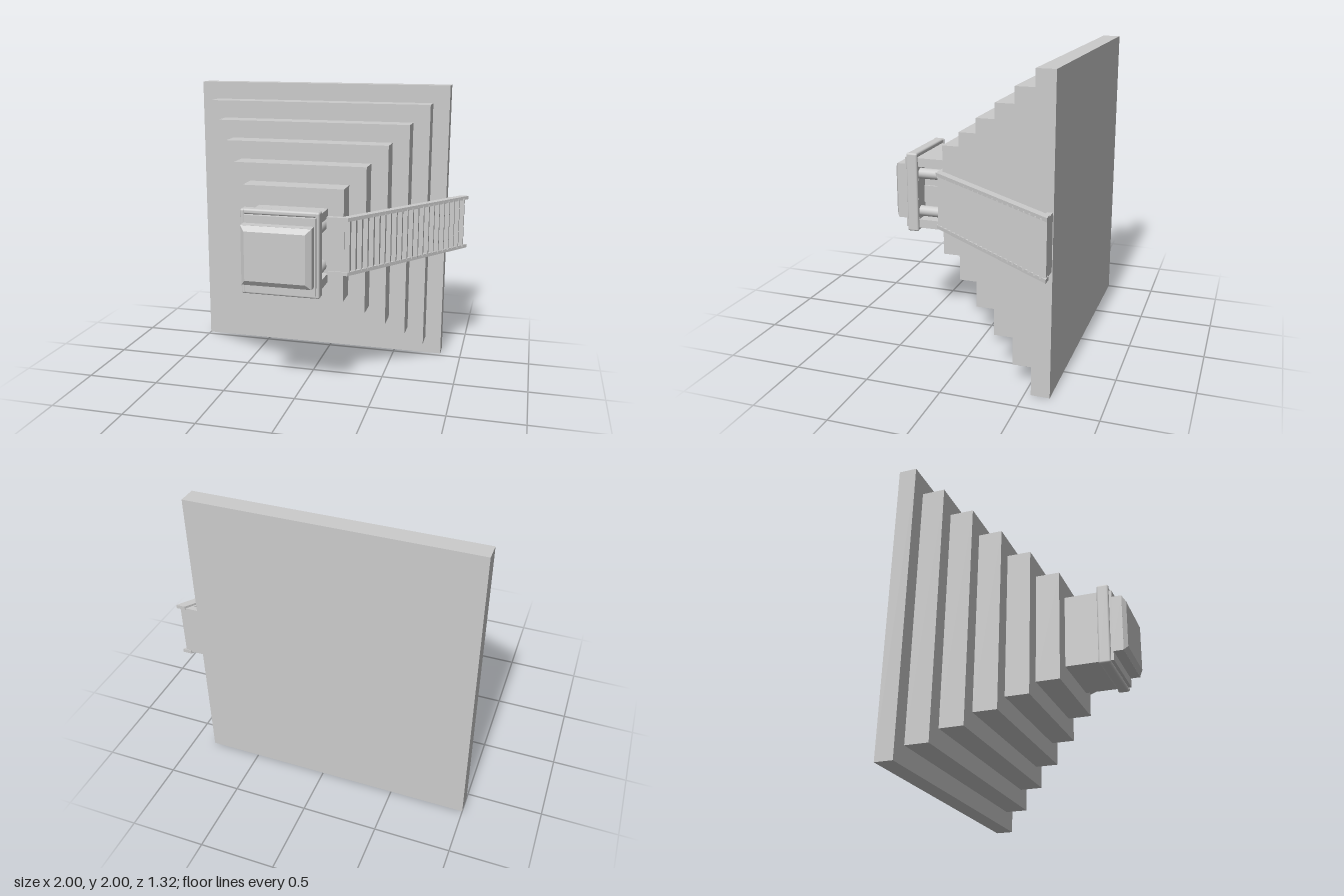
import * as THREE from 'three';
import { RoundedBoxGeometry } from 'three/addons/geometries/RoundedBoxGeometry.js';

const material = new THREE.MeshStandardMaterial({ color: 0xcccccc });

export function createModel() {
  const model = new THREE.Group();

  function add(name, geometry, x = 0, y = 0, z = 0) {
    const mesh = new THREE.Mesh(geometry, material);
    mesh.name = name;
    mesh.position.set(x, y, z);
    model.add(mesh);
    return mesh;
  }

  // Box given by its limits; a radius rounds the edges
  function block(name, x0, x1, y0, y1, z0, z1, radius = 0) {
    const size = [x1 - x0, y1 - y0, z1 - z0];
    const geometry = radius ? new RoundedBoxGeometry(...size, 3, radius) : new THREE.BoxGeometry(...size);
    return add(name, geometry, (x0 + x1) / 2, (y0 + y1) / 2, (z0 + z1) / 2);
  }

  // Profile in x and z, extruded along y
  function slab(name, points, y0, y1) {
    const shape = new THREE.Shape(points.map(([x, z]) => new THREE.Vector2(x, z)));
    const geometry = new THREE.ExtrudeGeometry(shape, { depth: y1 - y0, bevelEnabled: false });
    geometry.rotateX(Math.PI / 2);
    return add(name, geometry, 0, y1, 0);
  }

  // Stepped pyramid, rising towards +z
  const levels = [-0.66, -0.54, -0.385, -0.225, -0.065, 0.095, 0.255];
  for (let i = 0; i < 6; i++) {
    const half = 1 - i * 0.124;
    block('terrace' + (i + 1), -1 + i * 0.116, 0.85 - i * 0.116, 1 - half, 1 + half, levels[i], levels[i + 1]);
  }

  // Stairway: sawtooth flight
  const count = 22, start = [0.285, 0.275], end = [0.975, -0.655];
  const dx = (end[0] - start[0]) / count, dz = (end[1] - start[1]) / count;
  const flight = [[0.25, 0.25], [0.25, start[1]], start];
  for (let i = 0; i < count; i++) {
    const x = start[0] + (i + 1) * dx, z = start[1] + i * dz;
    flight.push([x, z], [x, z + dz]);
  }
  flight.push([0.92, -0.655]);
  slab('steps', flight, 0.825, 1.185);

  // Side rails and landing
  const rail = [[0.165, 0.25], [0.165, 0.29], [0.305, 0.29], [1, -0.66], [0.94, -0.66], [0.268, 0.25]];
  for (const y of [0.81, 1.175]) slab('stairRail', rail, y, y + 0.025);
  block('landing', 0.16, 0.28, 0.82, 1.18, 0.25, 0.28);
  block('stairFoot', 0.84, 0.96, 0.825, 1.185, -0.655, -0.62);

  // Temple with a columned porch facing the stairs
  block('templeBody', -0.305, 0.05, 0.75, 1.25, 0.25, 0.575);
  for (const s of [-1, 1]) {
    const wall = 1 + s * 0.22;
    block('porchWall', 0.05, 0.165, wall - 0.03, wall + 0.03, 0.25, 0.575);
    const column = new THREE.CylinderGeometry(0.037, 0.037, 0.24, 20);
    column.rotateX(Math.PI / 2);
    add('porchColumn', column, 0.125, 1 + s * 0.135, 0.37);
  }
  block('porchCeiling', 0.04, 0.165, 0.75, 1.25, 0.48, 0.575);
  block('door', 0.04, 0.065, 0.91, 1.03, 0.25, 0.48);

  // Rounded cornice around the temple
  for (const x of [-0.335, 0.155]) block('corniceEnd', x, x + 0.03, 0.725, 1.285, 0.48, 0.56, 0.013);
  for (const y of [0.725, 1.25]) block('corniceSide', -0.33, 0.18, y, y + 0.035, 0.485, 0.555, 0.013);

  // Roof block with a chamfered top
  block('roof', -0.305, 0.155, 0.81, 1.2, 0.56, 0.64);
  const cap = new THREE.BoxGeometry(0.46, 0.39, 0.025);
  const p = cap.attributes.position;
  for (let i = 0; i < p.count; i++) {
    if (p.getZ(i) > 0) p.setXY(i, p.getX(i) * 0.86 - 0.003, p.getY(i) * 0.82);
  }
  cap.computeVertexNormals();
  add('roofCap', cap, -0.075, 1.005, 0.6515);

  return model;
}
